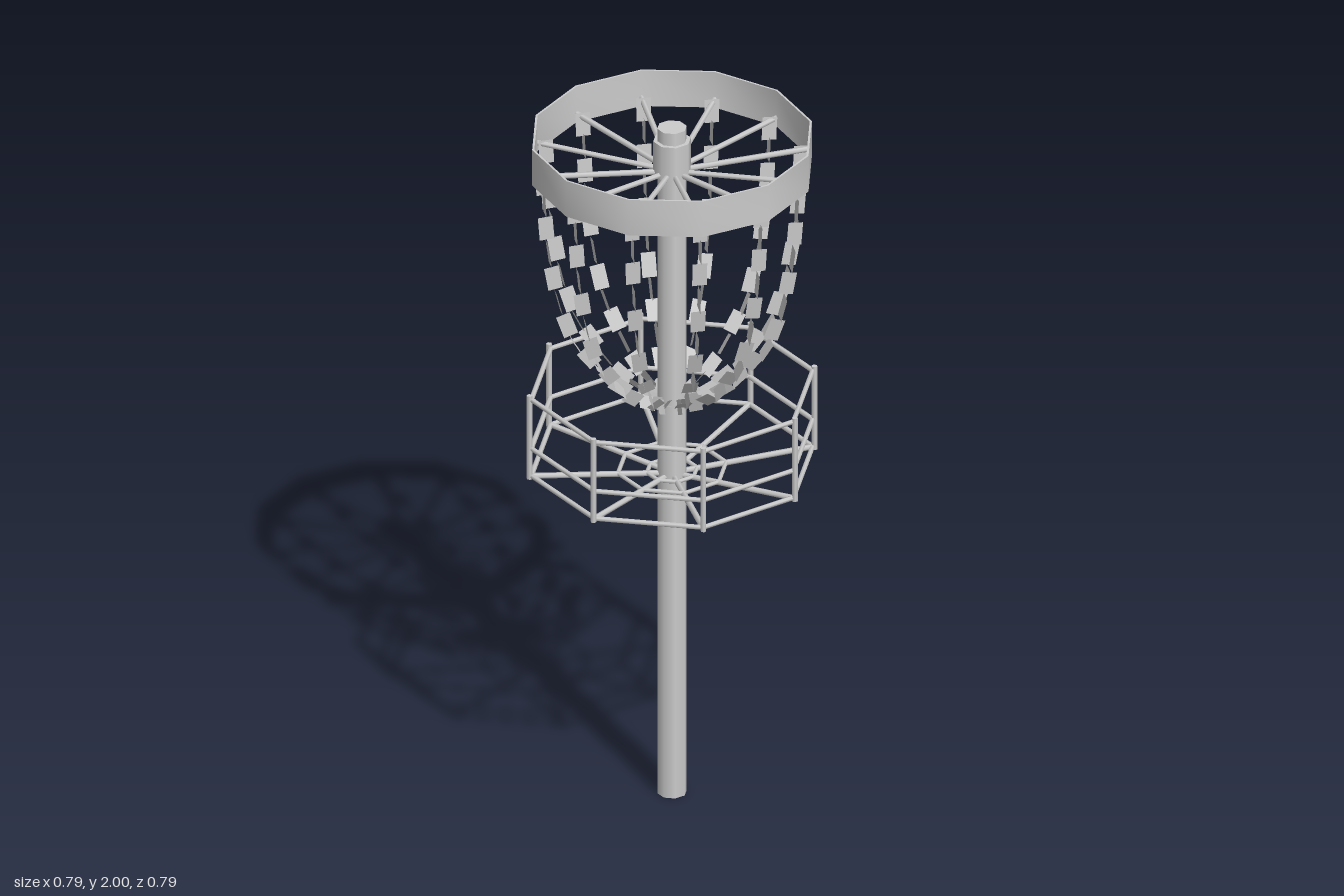
import * as THREE from 'three';
import { toCreasedNormals } from 'three/addons/utils/BufferGeometryUtils.js';

const grey = new THREE.MeshStandardMaterial({ color: 0xcccccc });
const thin = new THREE.MeshStandardMaterial({ color: 0xcccccc, side: THREE.DoubleSide });
const UP = new THREE.Vector3(0, 1, 0);

// Point at angle a, radius r and height y
const polar = (a, r, y) => new THREE.Vector3(Math.sin(a) * r, y, Math.cos(a) * r);

function add(parent, name, geometry, material = grey) {
  const mesh = new THREE.Mesh(geometry, material);
  mesh.name = name;
  parent.add(mesh);
  return mesh;
}

// Straight wire between two points
function rod(parent, name, a, b, radius) {
  const dir = b.clone().sub(a);
  const mesh = add(parent, name, new THREE.CylinderGeometry(radius, radius, dir.length(), 6));
  mesh.position.copy(a).add(b).multiplyScalar(0.5);
  mesh.quaternion.setFromUnitVectors(UP, dir.normalize());
}

function group(parent, name) {
  const g = new THREE.Group();
  g.name = name;
  parent.add(g);
  return g;
}

export function createModel() {
  const model = new THREE.Group();
  model.name = 'discBasket';

  // Pole and top collar
  add(model, 'pole', new THREE.CylinderGeometry(0.04, 0.04, 2, 8)).position.y = 1;
  add(model, 'collar', new THREE.CylinderGeometry(0.051, 0.051, 0.1, 8)).position.y = 1.913;

  // Twelve-sided top band with a thin wall, and its spokes rising to the rim
  const top = group(model, 'topAssembly');
  const wall = [[0.374, 1.868], [0.38, 1.868], [0.38, 1.975], [0.374, 1.975], [0.374, 1.868]];
  const band = new THREE.LatheGeometry(wall.map(([r, y]) => new THREE.Vector2(r, y)), 12);
  add(top, 'band', toCreasedNormals(band, 0.7));
  for (let i = 0; i < 12; i++) {
    const a = i * Math.PI / 6;
    rod(top, 'topSpoke', polar(a, 0.04, 1.871), polar(a, 0.376, 1.893), 0.008);
  }

  // Chains: flat links alternately facing z and x along one hanging profile
  const profile = [
    [0.35, 1.87], [0.347, 1.81], [0.342, 1.735], [0.335, 1.657], [0.322, 1.583],
    [0.308, 1.507], [0.285, 1.437], [0.262, 1.375], [0.225, 1.333], [0.188, 1.28],
    [0.14, 1.235], [0.092, 1.205], [0.05, 1.187],
  ];
  const axes = [new THREE.Vector3(0, 0, 1), new THREE.Vector3(1, 0, 0)];
  const chains = group(model, 'chains');
  for (let i = 0; i < 12; i++) {
    const a = i * Math.PI / 6;
    const chain = group(chains, 'chain');
    const points = profile.map(([r, y]) => polar(a, r, y));
    points.forEach((p, k) => {
      const before = points[Math.max(k - 1, 0)];
      const after = points[Math.min(k + 1, points.length - 1)];
      const along = before.clone().sub(after).normalize();
      const across = along.clone().cross(axes[k % 2]).normalize();
      const normal = across.clone().cross(along);
      // Links shorten towards the bottom of the chain
      const length = k < 7 ? 0.068 : 0.06;
      const link = add(chain, 'chainLink', new THREE.PlaneGeometry(0.04, length), thin);
      link.quaternion.setFromRotationMatrix(new THREE.Matrix4().makeBasis(across, along, normal));
      link.position.copy(p);
    });
  }

  // Eight-sided wire basket: rings, uprights and sloping floor spokes
  const basket = group(model, 'basket');
  const rings = [
    ['topRim', 0.382, 1.224, 0.007],
    ['middleRing', 0.382, 1.077, 0.007],
    ['bottomRim', 0.382, 0.995, 0.007],
    ['floorRing', 0.147, 0.975, 0.006],
    ['innerFloorRing', 0.068, 0.968, 0.006],
  ];
  for (let i = 0; i < 8; i++) {
    const a = i * Math.PI / 4, b = a + Math.PI / 4;
    for (const [name, r, y, w] of rings) rod(basket, name, polar(a, r, y), polar(b, r, y), w);
    rod(basket, 'upright', polar(a, 0.387, 0.987), polar(a, 0.387, 1.237), 0.008);
    rod(basket, 'floorSpoke', polar(a, 0.03, 0.963), polar(a, 0.387, 0.995), 0.008);
  }

  return model;
}
